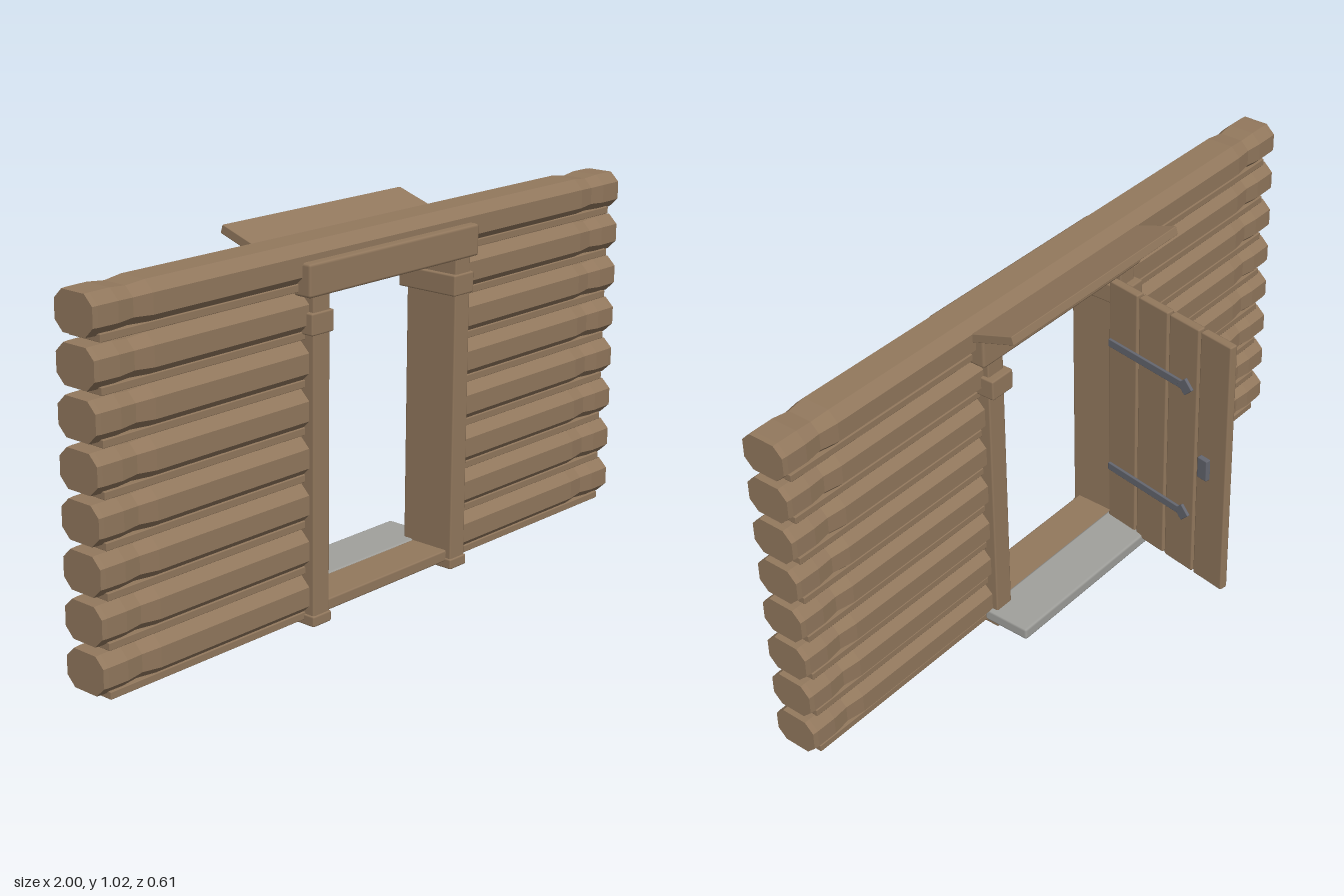
import * as THREE from 'three';
import { RoundedBoxGeometry } from 'three/addons/geometries/RoundedBoxGeometry.js';

const wood = new THREE.MeshStandardMaterial({ color: 0x92785d });
wood.name = 'wood';
const stone = new THREE.MeshStandardMaterial({ color: 0xa0a09c });
stone.name = 'stone';
const iron = new THREE.MeshStandardMaterial({ color: 0x656770 });
iron.name = 'iron';

function add(parent, name, geometry, material) {
  const mesh = new THREE.Mesh(geometry, material);
  mesh.name = name;
  parent.add(mesh);
  return mesh;
}

// Box with slightly bevelled edges, given by its limits on each axis
function block(parent, name, [x0, x1], [y0, y1], [z0, z1], material = wood, bevel = 0.005) {
  const w = x1 - x0, h = y1 - y0, d = z1 - z0;
  const r = Math.min(bevel, w * 0.3, h * 0.3, d * 0.3);
  const mesh = add(parent, name, new RoundedBoxGeometry(w, h, d, 1, r), material);
  mesh.position.set((x0 + x1) / 2, (y0 + y1) / 2, (z0 + z1) / 2);
  return mesh;
}

// Octagonal log lofted along x; rings are [x, scale] with rising x
function logGeometry(rings) {
  const hz = 0.068, hy = 0.053, cz = 0.04, cy = 0.026;
  const section = [[hz, -cy], [hz, cy], [cz, hy], [-cz, hy], [-hz, cy], [-hz, -cy], [-cz, -hy], [cz, -hy]];
  const pos = [], index = [], n = 8;
  for (const [x, s] of rings) for (const [z, y] of section) pos.push(x, y * s, z * s);
  for (let r = 0; r < rings.length - 1; r++) {
    for (let i = 0; i < n; i++) {
      const a = r * n + i, b = r * n + (i + 1) % n;
      index.push(a, a + n, b, b, a + n, b + n);
    }
  }
  const last = (rings.length - 1) * n;
  for (let i = 1; i < n - 1; i++) {
    index.push(0, i, i + 1);
    index.push(last, last + i + 1, last + i);
  }
  const g = new THREE.BufferGeometry();
  g.setAttribute('position', new THREE.Float32BufferAttribute(pos, 3));
  g.setIndex(index);
  const flat = g.toNonIndexed();
  flat.computeVertexNormals();
  return flat;
}

export function createModel() {
  const model = new THREE.Group();
  model.name = 'logWallWithDoor';

  // Log wall: notched ends, door gap in all but the top log
  const rightEnd = [[0.82, 1], [0.875, 0.89], [0.925, 0.98], [0.985, 0.97], [1, 0.95]];
  const leftEnd = rightEnd.map(([x, s]) => [-x, s]).reverse();
  const wallZ = 0.207;
  for (let i = 0; i < 8; i++) {
    const y = 0.08 + i * 0.1238;
    const pieces = i === 7
      ? [[...leftEnd, ...rightEnd]]
      : [[...leftEnd, [-0.285, 1]], [[0.285, 1], ...rightEnd]];
    for (const rings of pieces) {
      add(model, 'log', logGeometry(rings), wood).position.set(0, y, wallZ);
      // Packing strip under each log
      const x0 = Math.max(rings[0][0], -0.97), x1 = Math.min(rings[rings.length - 1][0], 0.97);
      block(model, 'packingStrip', [x0, x1], [y - 0.065, y - 0.045], [0.153, 0.261], wood, 0.002);
    }
  }

  // Door frame
  for (const side of [-1, 1]) {
    const span = (a, b) => (side > 0 ? [a, b] : [-b, -a]);
    block(model, 'post', span(0.245, 0.305), [0.012, 0.88], [0.122, 0.29]);
    block(model, 'postFoot', span(0.241, 0.309), [0, 0.03], [0.118, 0.294]);
    block(model, 'postCapital', span(0.235, 0.315), [0.772, 0.83], [0.1, 0.295]);
  }
  block(model, 'lintel', [-0.328, 0.328], [0.87, 0.957], [0.115, 0.3], wood, 0.008);
  block(model, 'sill', [-0.25, 0.25], [0.02, 0.052], [0.152, 0.274]);
  block(model, 'doorstep', [-0.32, 0.32], [0.018, 0.055], [0.008, 0.156], stone, 0.008);

  // Sloping board above the back of the doorway
  const awning = block(model, 'awning', [-0.34, 0.34], [-0.012, 0.012], [-0.085, 0.085], wood, 0.002);
  awning.position.set(0, 0.978, 0.088);
  awning.rotation.x = 0.32;

  // Open door, running back from its hinge
  const door = new THREE.Group();
  door.name = 'door';
  door.position.set(-0.238, 0, 0.144);
  door.rotation.y = -0.157;
  model.add(door);
  for (let i = 0; i < 4; i++) {
    const z = -0.054 - i * 0.1155;
    block(door, 'doorPlank', [-0.013, 0.013], [0.042, 0.852], [z - 0.0545, z + 0.0545]);
  }
  for (const y of [0.236, 0.658]) {
    block(door, 'doorBatten', [-0.034, -0.011], [y - 0.022, y + 0.022], [-0.39, -0.03]);
    // Strap hinge with a diamond tip
    block(door, 'hingeStrap', [0.012, 0.021], [y - 0.012, y + 0.012], [-0.29, -0.005], iron, 0.002);
    const tip = block(door, 'hingeTip', [0.012, 0.022], [y - 0.019, y + 0.019], [-0.32, -0.282], iron, 0.002);
    tip.rotation.x = Math.PI / 4;
  }
  const brace = block(door, 'doorBrace', [-0.032, -0.011], [0.43, 0.472], [-0.4, -0.04]);
  brace.rotation.x = 0.48;
  block(door, 'doorHandle', [0.011, 0.028], [0.398, 0.465], [-0.398, -0.363], iron, 0.003);

  return model;
}
